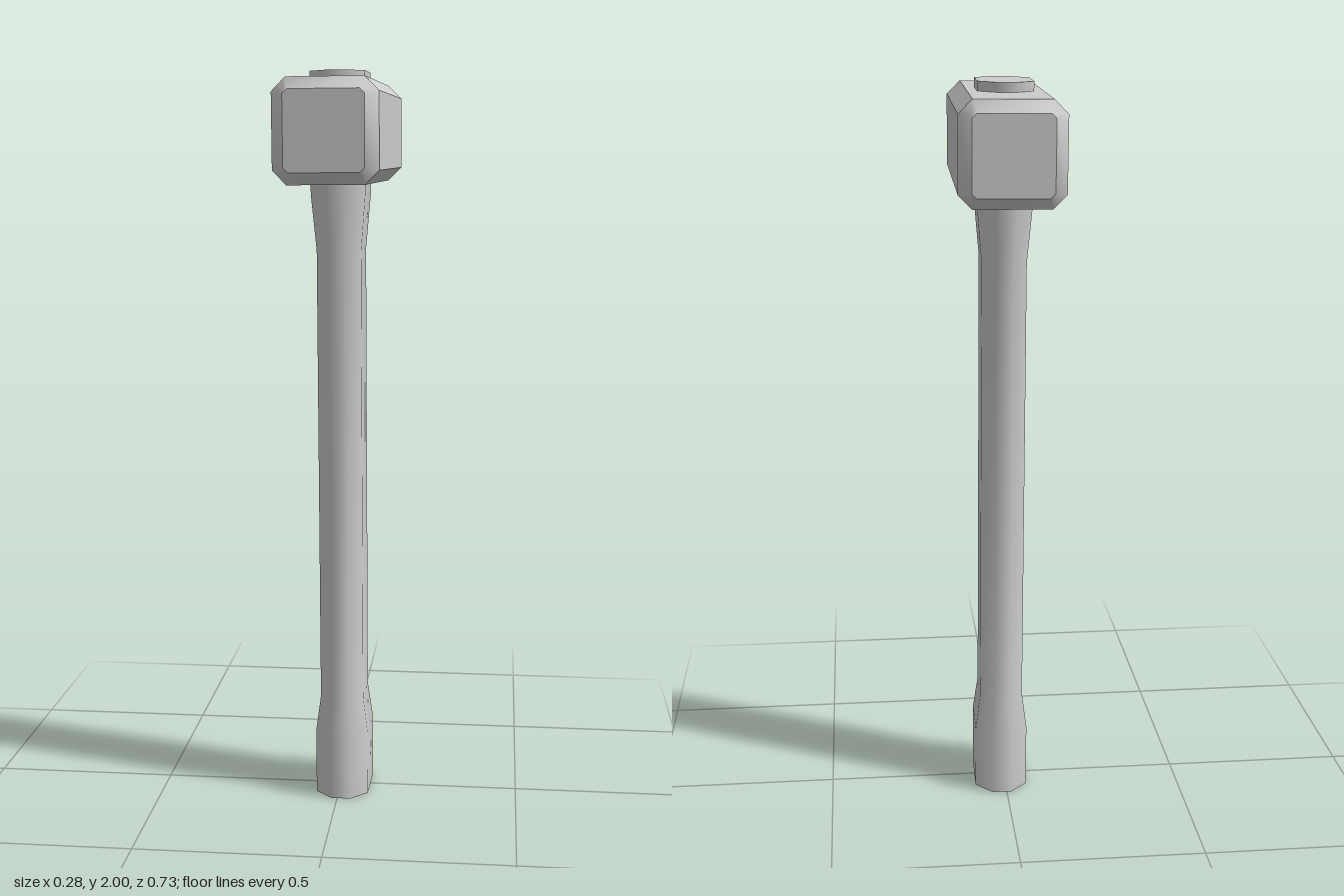
import * as THREE from 'three';
import { toCreasedNormals } from 'three/addons/utils/BufferGeometryUtils.js';

// Octagon with half sizes hx, hy and corners cut by c, counter-clockwise
function octagon(hx, hy, c) {
  return [
    [hx, -hy + c], [hx, hy - c], [hx - c, hy], [-hx + c, hy],
    [-hx, hy - c], [-hx, -hy + c], [-hx + c, -hy], [hx - c, -hy],
  ];
}

// Closed loft along +z through sections [z, hx, hy, cut]
function loft(sections, crease) {
  const pos = [], index = [], n = 8;
  for (const [z, hx, hy, c] of sections) {
    for (const [x, y] of octagon(hx, hy, c)) pos.push(x, y, z);
  }
  for (let s = 0; s < sections.length - 1; s++) {
    for (let i = 0; i < n; i++) {
      const a = s * n + i, b = s * n + (i + 1) % n;
      index.push(a, b, b + n, a, b + n, a + n);
    }
  }
  const last = (sections.length - 1) * n;
  for (let i = 1; i < n - 1; i++) {
    index.push(0, i + 1, i, last, last + i, last + i + 1);
  }
  const g = new THREE.BufferGeometry();
  g.setAttribute('position', new THREE.Float32BufferAttribute(pos, 3));
  g.setIndex(index);
  return toCreasedNormals(g, THREE.MathUtils.degToRad(crease));
}

export function createModel() {
  const group = new THREE.Group();
  group.name = 'sledgehammer';
  const material = new THREE.MeshStandardMaterial({ color: 0xcccccc });

  // Handle: oval shaft flared at the grip and at the eye of the head
  const handleGeometry = loft([
    [0, 0.073, 0.119, 0.046],
    [0.18, 0.073, 0.119, 0.046],
    [0.28, 0.06, 0.1, 0.038],
    [1.53, 0.06, 0.1, 0.038],
    [1.68, 0.073, 0.119, 0.046],
    [2, 0.073, 0.119, 0.046],
  ], 50);
  handleGeometry.rotateX(-Math.PI / 2);
  const handle = new THREE.Mesh(handleGeometry, material);
  handle.name = 'handle';

  // Head: block with chamfered long edges and bevelled striking faces
  const head = new THREE.Mesh(loft([
    [-0.361, 0.102, 0.102, 0.012],
    [-0.326, 0.135, 0.133, 0.036],
    [0.326, 0.135, 0.133, 0.036],
    [0.361, 0.102, 0.102, 0.012],
  ], 37), material);
  head.name = 'head';
  head.position.y = 1.842;

  // Slight twist and lean of the whole tool
  group.add(handle, head);
  const tilt = new THREE.Group();
  tilt.name = 'hammer';
  tilt.add(handle, head);
  tilt.rotation.set(0, -0.02, 0.007);
  tilt.position.x = 0.012;
  group.add(tilt);
  return group;
}
